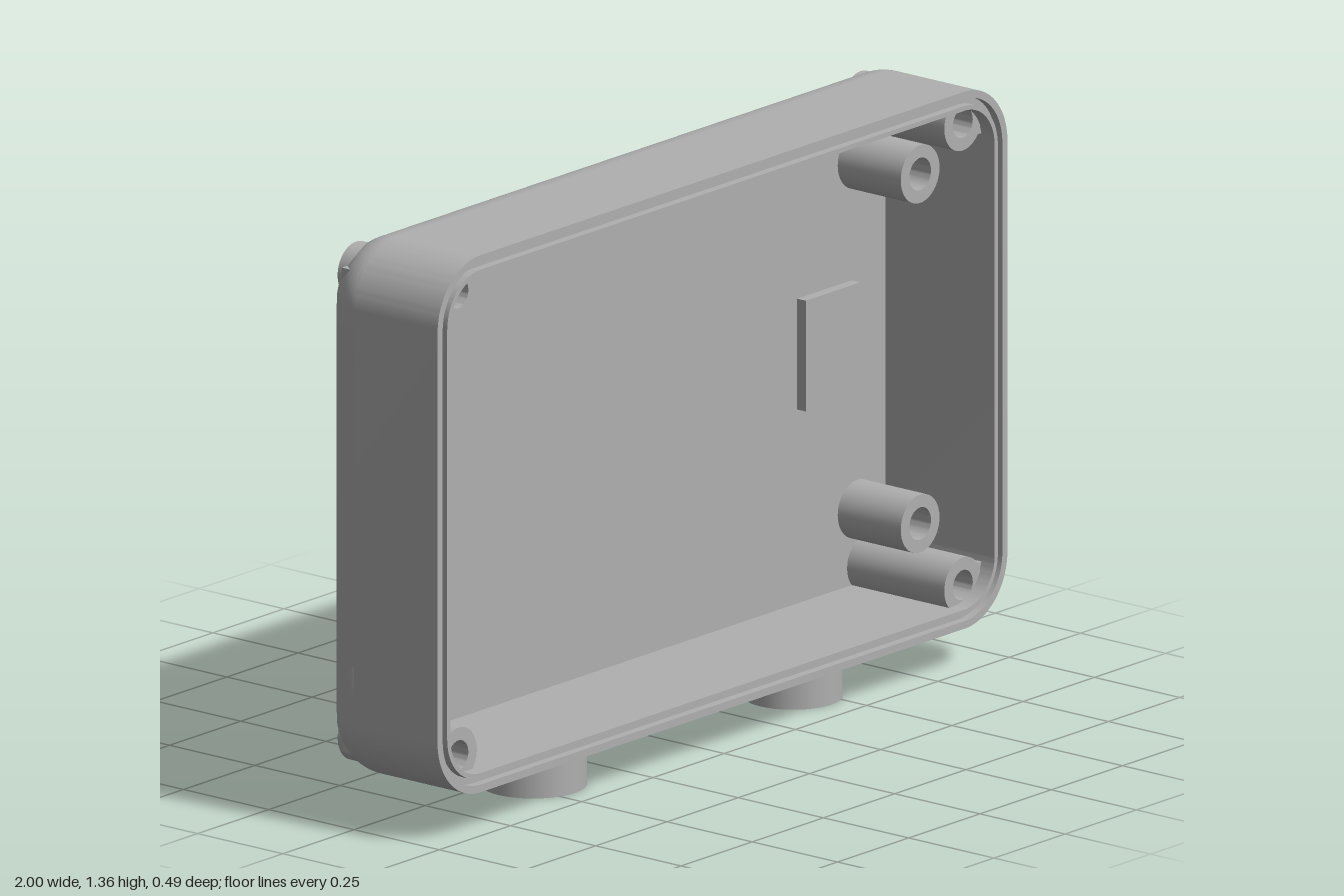
import * as THREE from 'three';
import { mergeGeometries, toCreasedNormals } from 'three/addons/utils/BufferGeometryUtils.js';

const HX = 1, HY = 0.63, CY = 0.73;      // half width, half height, centre height
const RC = 0.15, R = 0.11;               // corner radius, back edge radius
const FRONT = 0.245, FLOOR = -0.075;     // rim and inner floor depth
const SX = 0.885, SY = 0.542, SR = 0.065; // screw boss position and radius
const LIP = -0.09;                       // back end of the screw bosses
const PX = 0.72, PY = 0.35;              // where the corner patches begin
const SIDES = [[1, 1], [-1, 1], [-1, -1], [1, -1]];

// rounded rectangle, inset by d
function outline(d) {
  const x = HX - d, y = HY - d, r = RC - d, s = new THREE.Shape();
  s.absarc(x - r, y - r, r, 0, Math.PI / 2);
  s.absarc(r - x, y - r, r, Math.PI / 2, Math.PI);
  s.absarc(r - x, r - y, r, Math.PI, Math.PI * 1.5);
  s.absarc(x - r, r - y, r, Math.PI * 1.5, Math.PI * 2);
  s.closePath();
  return s;
}

// wall ring between two insets
function ring(d0, d1, z0, z1) {
  const s = outline(d0);
  s.holes.push(outline(d1));
  const g = new THREE.ExtrudeGeometry(s, { depth: z1 - z0, bevelEnabled: false, curveSegments: 14 });
  return toCreasedNormals(g.translate(0, 0, z0), 0.5);
}

// depth of the rounded back at a point
function backZ(x, y) {
  const qx = Math.abs(x) - HX + RC, qy = Math.abs(y) - HY + RC;
  const d = RC - Math.hypot(Math.max(qx, 0), Math.max(qy, 0)) - Math.min(Math.max(qx, qy), 0);
  const k = R - Math.min(Math.max(d, 0), R);
  return -Math.sqrt(R * R - k * k);
}

// grid surface from rows of points
function surface(rows, flip) {
  const n = rows[0].length, pos = [], idx = [];
  rows.forEach(row => row.forEach(([x, y, z = backZ(x, y)]) => pos.push(x, y, z)));
  for (let i = 0; i < rows.length - 1; i++) {
    for (let j = 0; j < n - 1; j++) {
      const a = i * n + j, b = a + 1, c = a + n, d = c + 1;
      if (flip) idx.push(a, b, c, b, d, c);
      else idx.push(a, c, b, b, c, d);
    }
  }
  const g = new THREE.BufferGeometry();
  g.setAttribute('position', new THREE.Float32BufferAttribute(pos, 3));
  g.setIndex(idx);
  return g;
}

// back panel with rounded edges and a screw opening in each corner
function backPanel() {
  const N = 10, inset = [];
  for (let i = 0; i <= N; i++) inset.push(R * (1 - Math.cos(i / N * Math.PI / 2)));
  const across = h => [...inset.map(d => d - h), ...inset.map(d => h - d).reverse()];
  const parts = [surface(across(HY).map(y => [[-PX, y], [PX, y]]))];
  for (const s of [-1, 1]) {
    const xs = inset.map(d => s * (HX - d));
    xs.push(s * PX);
    xs.sort((a, b) => a - b);
    parts.push(surface([-PY, PY].map(y => xs.map(x => [x, y]))));
  }

  // boundary of one corner patch, counter-clockwise
  const edge = [[HX, PY], [HX, 0.42]];
  for (let i = 0; i <= 20; i++) {
    const a = i / 20 * Math.PI / 2;
    edge.push([HX - RC + RC * Math.cos(a), HY - RC + RC * Math.sin(a)]);
  }
  edge.push([0.79, HY]);
  inset.forEach(d => edge.push([PX, HY - d]));
  for (let i = 1; i <= 6; i++) edge.push([PX, HY - R + (PY - HY + R) * i / 6]);
  for (let i = 1; i <= 6; i++) edge.push([PX + (HX - R - PX) * i / 6, PY]);
  [...inset].reverse().slice(1).forEach(d => edge.push([HX - d, PY]));

  // rings from the screw opening out to the boundary
  const rows = [];
  for (let k = 0; k <= 16; k++) {
    const t = 1 - (1 - k / 16) ** 2;
    rows.push(edge.map(([x, y]) => {
      const l = Math.hypot(x - SX, y - SY);
      const hx = SX + (x - SX) / l * SR, hy = SY + (y - SY) / l * SR;
      return [hx + (x - hx) * t, hy + (y - hy) * t];
    }));
  }
  rows.unshift(rows[0].map(([x, y]) => [x, y, Math.max(LIP, backZ(x, y))]));
  for (const [sx, sy] of SIDES) {
    const placed = rows.map(r => r.map(([x, y, z = backZ(x, y)]) => [x * sx, y * sy, z]));
    parts.push(surface(placed, sx * sy < 0 ? false : true));
  }
  // the grid rule faces +z for patches wound outward, so the flip above is mirrored
  for (const g of parts.slice(3)) g.index.array.reverse();
  return toCreasedNormals(mergeGeometries(parts), 0.6);
}

// turned part along z from a closed [radius, z] profile
function turned(profile) {
  const pts = [...profile, profile[0]].map(p => new THREE.Vector2(...p));
  return toCreasedNormals(new THREE.LatheGeometry(pts, 40).rotateX(Math.PI / 2), 0.6);
}

export function createModel() {
  const model = new THREE.Group();
  const grey = new THREE.MeshStandardMaterial({ color: 0xb0b0b0, side: THREE.DoubleSide });
  grey.name = 'grey plastic';
  const body = new THREE.Group();
  body.name = 'enclosure';
  body.position.y = CY;
  model.add(body);
  const add = (name, geo, x = 0, y = 0, z = 0) => {
    const m = new THREE.Mesh(geo, grey);
    m.name = name;
    m.position.set(x, y, z);
    body.add(m);
  };

  // shell: outer wall, sealing groove, inner wall, back and floor
  add('outerWall', ring(0, 0.018, 0, FRONT));
  add('sealGroove', ring(0.018, 0.034, 0, FRONT - 0.02));
  add('innerWall', ring(0.034, 0.045, FLOOR, FRONT));
  add('backPanel', backPanel());
  const floor = outline(0.04);
  for (const [sx, sy] of SIDES) {
    floor.holes.push(new THREE.Path().absarc(sx * SX, sy * SY, 0.06, 0, Math.PI * 2));
  }
  add('innerFloor', new THREE.ShapeGeometry(floor, 14), 0, 0, FLOOR);

  // screw bosses with countersunk backs, and the standoffs inside
  const boss = turned([[SR, LIP], [SR, 0.21], [0.035, 0.21], [0.035, -0.035], [0.056, -0.035], [0.056, LIP]]);
  const standoff = turned([[0.068, FLOOR], [0.068, 0.11], [0.038, 0.11], [0.038, -0.06], [0, -0.06], [0, FLOOR]]);
  for (const [sx, sy] of SIDES) {
    add('screwBoss', boss, sx * SX, sy * SY);
    add('standoff', standoff, sx * 0.855, sy * 0.41);
    add('bossRib', new THREE.BoxGeometry(0.04, 0.065, 0.275), sx * 0.943, sy * 0.535, 0.0705);
  }

  // raised pad on the floor
  add('floorPad', new THREE.BoxGeometry(0.19, 0.26, 0.025), 0.74, 0, FLOOR + 0.0125);

  // hollow mounting bosses on the back
  const mount = turned([[0.113, -0.245], [0.113, -0.1], [0, -0.1], [0, -0.125], [0.055, -0.125], [0.055, -0.245]]);
  for (const s of [-1, 1]) add('backMount', mount, s * 0.57, 0);

  // plugs under the bottom wall
  for (const [x, r] of [[-0.458, 0.122], [0.453, 0.113]]) {
    add('bottomPlug', new THREE.CylinderGeometry(r, r, 0.12, 40), x, 0.06 - CY, 0.072);
  }
  return model;
}
